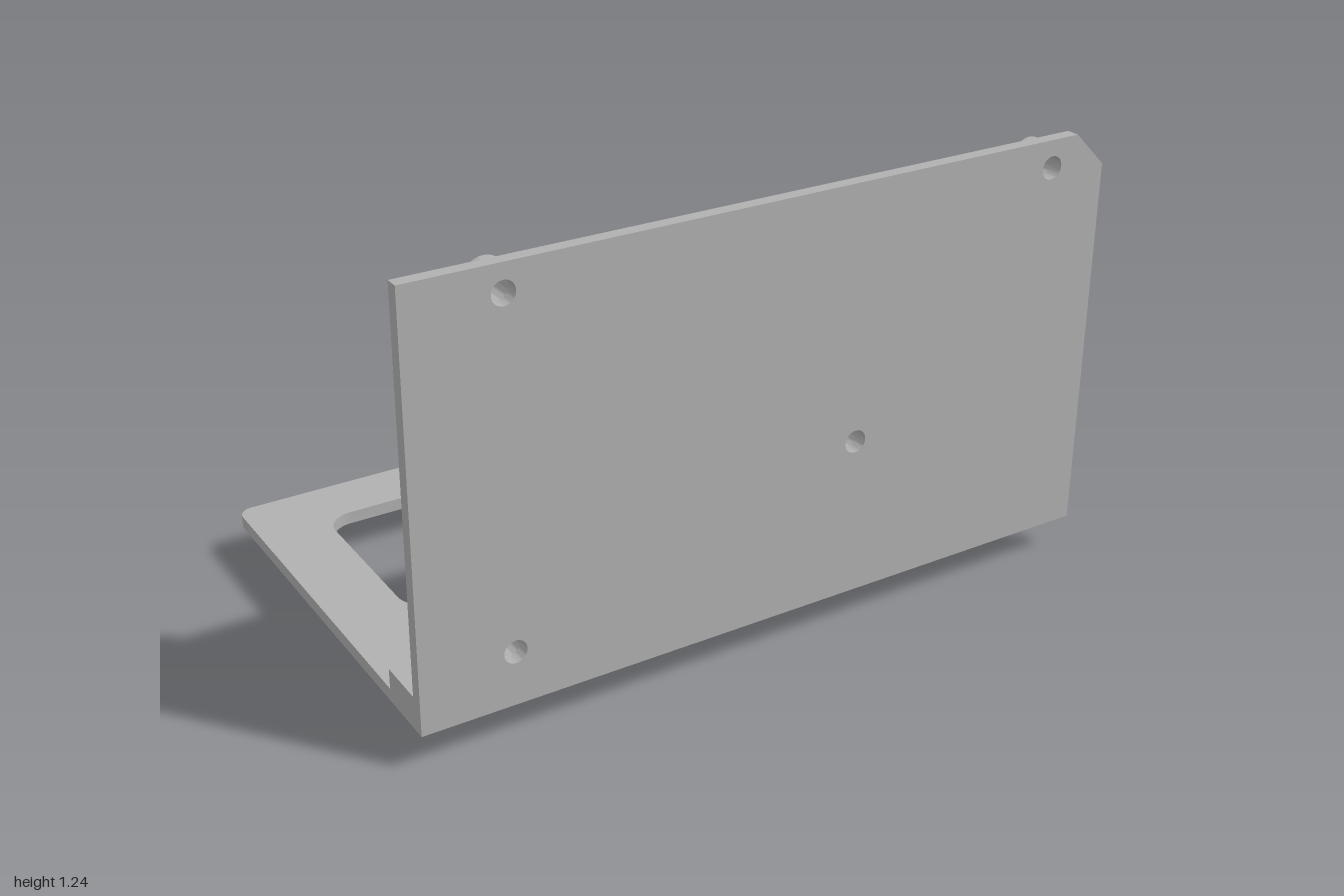
import * as THREE from 'three';
import { toCreasedNormals } from 'three/addons/utils/BufferGeometryUtils.js';

const WALL_BACK = 0.557, WALL_FRONT = 0.593;
const BASE_Y = 0.1, BASE_TOP = 0.135;
const LEFT = 0.312; // model-left edge of the base
const HOLE_R = 0.031;

// Extrude with smooth round walls and sharp edges
function extrude(shape, depth) {
  const g = new THREE.ExtrudeGeometry(shape, { depth, bevelEnabled: false, curveSegments: 24 });
  return toCreasedNormals(g, 0.6);
}

function circle(PathType, x, y, r) {
  return new PathType().absarc(x, y, r, 0, Math.PI * 2, PathType === THREE.Path);
}

// Rectangle with separate radii for the lower and upper corners
function roundRect(PathType, x0, y0, x1, y1, rLow, rHigh) {
  const p = new PathType();
  const corner = (x, y, r, a) => {
    if (r > 0) p.absarc(x, y, r, a, a + Math.PI / 2, false);
    else p.lineTo(x, y);
  };
  p.moveTo(x0 + rLow, y0);
  corner(x1 - rLow, y0 + rLow, rLow, -Math.PI / 2);
  corner(x1 - rHigh, y1 - rHigh, rHigh, 0);
  corner(x0 + rHigh, y1 - rHigh, rHigh, Math.PI / 2);
  corner(x0 + rLow, y0 + rLow, rLow, Math.PI);
  p.closePath();
  return p;
}

export function createModel() {
  const model = new THREE.Group();
  model.name = 'mountingBracket';
  const grey = new THREE.MeshStandardMaterial({ color: 0xb0b0b0 });
  grey.name = 'grey';

  const add = (name, geometry, x = 0, y = 0, z = 0) => {
    const mesh = new THREE.Mesh(geometry, grey);
    mesh.name = name;
    mesh.position.set(x, y, z);
    model.add(mesh);
    return mesh;
  };

  const screws = [[-0.747, 1.167], [0.826, 1.165], [0.235, 0.541], [-0.747, 0.248]];

  // Upright plate with one clipped corner and screw holes
  const wall = new THREE.Shape([
    [-1, BASE_Y], [1, BASE_Y], [1, 1.146], [0.905, 1.24], [-1, 1.24],
  ].map(([x, y]) => new THREE.Vector2(x, y)));
  for (const [x, y] of screws) wall.holes.push(circle(THREE.Path, x, y, HOLE_R));
  add('uprightPlate', extrude(wall, WALL_FRONT - WALL_BACK), 0, 0, WALL_BACK);

  // Hollow standoffs behind the screw holes
  const ring = circle(THREE.Shape, 0, 0, 0.057);
  ring.holes.push(circle(THREE.Path, 0, 0, HOLE_R));
  const standoff = extrude(ring, 0.057);
  for (const [x, y] of screws) add('standoff', standoff, x, y, 0.5);

  // Base plate with a rounded window, drawn with -z as up
  const base = roundRect(THREE.Shape, -1, -WALL_BACK, LEFT, 0.593, 0, 0.04);
  base.holes.push(roundRect(THREE.Path, -0.81, -0.13, 0.123, 0.423, 0.075, 0.075));
  add('basePlate', extrude(base, BASE_TOP - BASE_Y), 0, BASE_Y, 0).rotation.x = -Math.PI / 2;

  // Stiffening ledge where the plates meet
  const ledgeDepth = WALL_BACK - 0.422, ledgeHeight = 0.191 - BASE_TOP;
  add('ledge', new THREE.BoxGeometry(LEFT + 1, ledgeHeight, ledgeDepth),
    (LEFT - 1) / 2, BASE_TOP + ledgeHeight / 2, 0.422 + ledgeDepth / 2);

  // Locating pegs under the base
  const peg = new THREE.CylinderGeometry(0.0375, 0.0375, BASE_Y, 32);
  for (const x of [-0.846, 0.16])
    for (const z of [0.384, -0.491]) add('peg', peg, x, BASE_Y / 2, z);

  return model;
}
